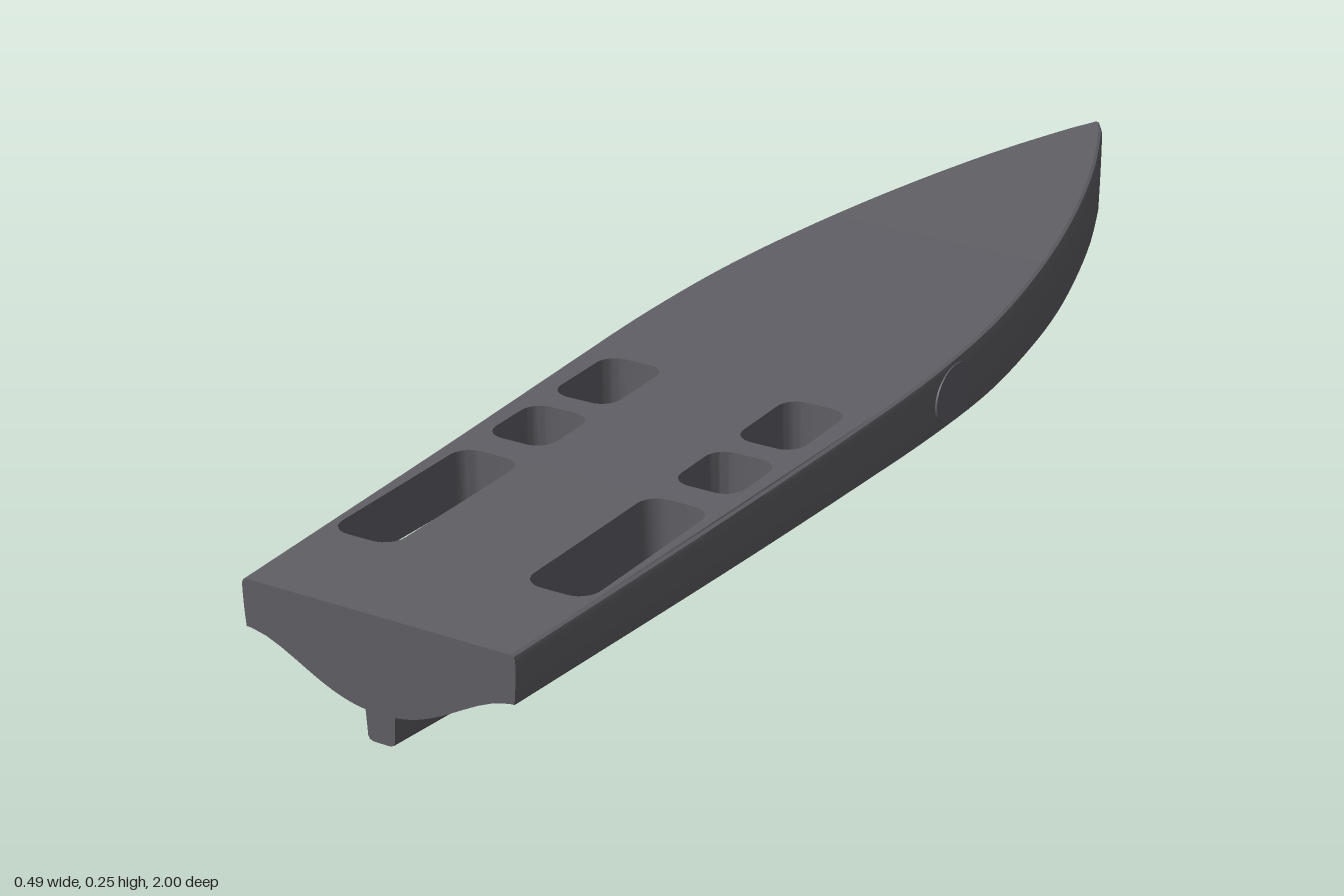
import * as THREE from 'three';
import { toCreasedNormals } from 'three/addons/utils/BufferGeometryUtils.js';

const hullGrey = new THREE.MeshStandardMaterial({ color: 0x605f65, side: THREE.DoubleSide });
hullGrey.name = 'hull grey';

// Smooth curve through [z, value] points
function curve(pts) {
  const slope = (i) => {
    const a = pts[Math.max(i - 1, 0)], b = pts[Math.min(i + 1, pts.length - 1)];
    return (b[1] - a[1]) / (b[0] - a[0]);
  };
  return (z) => {
    let i = 0;
    while (i < pts.length - 2 && z > pts[i + 1][0]) i++;
    const [z0, v0] = pts[i], [z1, v1] = pts[i + 1], h = z1 - z0, t = (z - z0) / h;
    const s = t * t * (3 - 2 * t);
    return v0 + (v1 - v0) * s + h * t * (1 - t) * ((1 - t) * slope(i) - t * slope(i + 1));
  };
}

// Lines of the boat along its length (bow at z = -1, stern at z = 1)
const halfWidth = curve([[-1, 0.004], [-0.985, 0.016], [-0.95, 0.034], [-0.8, 0.094], [-0.6, 0.155],
  [-0.4, 0.2], [-0.2, 0.23], [0, 0.241], [0.2, 0.238], [0.6, 0.224], [1, 0.208]]);
const deckY = curve([[-1, 0.254], [-0.5, 0.237], [0, 0.226], [0.5, 0.222], [1, 0.225]]);
const chineY = curve([[-1, 0.118], [-0.6, 0.105], [-0.3, 0.118], [0, 0.131], [0.5, 0.142], [1, 0.157]]);
const centreY = curve([[-1, 0.105], [-0.8, 0.086], [-0.6, 0.07], [-0.3, 0.062], [0.1, 0.063], [0.5, 0.069], [1, 0.087]]);
const keelY = curve([[-0.62, 0.07], [-0.3, 0.031], [0, 0.01], [0.3, 0.001], [0.6, 0.01], [1, 0.045]]);
const bowBlend = (z) => 1 - THREE.MathUtils.smoothstep(z, -0.8, -0.05);
const chineX = (z) => halfWidth(z) * (0.985 - 0.06 * bowBlend(z));

// Bottom: wine-glass section aft, rounded V forward
function bottomY(x, z) {
  const t = Math.min(x / chineX(z), 1), s = Math.pow(t, 1.2);
  const p = THREE.MathUtils.lerp(s * s * (3 - 2 * s), Math.pow(t, 1.8), bowBlend(z));
  return centreY(z) + (chineY(z) - centreY(z)) * p;
}

// Deck wells
const WELLS = [[0.17, 0.32], [0.36, 0.48], [0.53, 0.83]];
const IN = 0.1, OUT = 0.2, R = 0.03, FLOOR = 0.129, DECK_SPLIT = 0.1;
const wellAt = (z) => WELLS.find(([a, b]) => z >= a - 1e-6 && z <= b + 1e-6);
function inset(z) {
  const w = wellAt(z);
  if (!w) return 0;
  const d = Math.max(R - Math.min(z - w[0], w[1] - z), 0);
  return R - Math.sqrt(Math.max(R * R - d * d, 0));
}
const outerX = (z) => Math.min(OUT - inset(z), 0.96 * chineX(z));
// Where the well floor meets the hull bottom
function floorX(z) {
  let a = 0, b = outerX(z);
  for (let i = 0; i < 30; i++) {
    const m = (a + b) / 2;
    if (bottomY(m, z) > FLOOR) b = m; else a = m;
  }
  return Math.max(b, Math.min(IN + inset(z), outerX(z)));
}
function wellRows([a, b]) {
  const rows = [];
  for (const d of [0, 0.002, 0.006, 0.012, 0.02, 0.03]) rows.push(a + d, b - d);
  for (let i = 1; i < 6; i++) rows.push(a + R + (b - a - 2 * R) * i / 6);
  return rows.sort((p, q) => p - q);
}

// Surface through rows of [x, y, z] points
function loft(rows, skip = () => false, crease = 0.6) {
  const n = rows[0].length, index = [];
  for (let i = 0; i < rows.length - 1; i++) for (let j = 0; j < n - 1; j++) {
    if (skip(i, j)) continue;
    const a = i * n + j, b = a + n;
    index.push(a, b, b + 1, a, b + 1, a + 1);
  }
  const g = new THREE.BufferGeometry();
  g.setAttribute('position', new THREE.Float32BufferAttribute(rows.flat(2), 3));
  g.setIndex(index);
  return toCreasedNormals(g, crease);
}

const fillet = (z) => Math.min(0.007, halfWidth(z) * 0.4);
const deckX = (z) => halfWidth(z) - fillet(z);
const INNER = 14, OPEN = 3, EDGE = 4, SIDE = 5;

// Full cross-section, from the left deck edge round to the right one
function section(z) {
  const w = halfWidth(z), f = fillet(z), y = deckY(z), cx = chineX(z), cy = chineY(z);
  const half = [[w - f, y, z], [w - 0.3 * f, y - 0.3 * f, z]];
  for (let i = 0; i < SIDE; i++) {
    const t = i / SIDE;
    half.push([w + (cx - w) * t * t, y - f + (cy - y + f) * t, z]);
  }
  const stops = [cx, outerX(z), floorX(z), 0];
  [EDGE, OPEN, INNER].forEach((n, k) => {
    for (let i = 0; i < n; i++) {
      const x = stops[k] + (stops[k + 1] - stops[k]) * i / n;
      half.push([x, bottomY(x, z), z]);
    }
  });
  return [...half, [0, centreY(z), z], ...half.reverse().map(([x, b, c]) => [-x, b, c])];
}

export function createModel() {
  const boat = new THREE.Group();
  boat.name = 'boat';
  const add = (name, geometry) => {
    const m = new THREE.Mesh(geometry, hullGrey);
    m.name = name;
    boat.add(m);
    return m;
  };

  // Stations
  let zs = [DECK_SPLIT, -0.995, -0.985, -0.97];
  for (let i = 0; i <= 50; i++) zs.push(-1 + i / 25);
  zs = zs.filter((z) => !wellAt(z)).concat(...WELLS.map(wellRows)).sort((a, b) => a - b);
  zs = zs.filter((z, i) => i === 0 || z - zs[i - 1] > 1e-5);

  // Hull shell, open where the wells break through the bottom
  const sections = zs.map(section), cols = sections[0].length;
  const first = 2 + SIDE + EDGE;
  add('hull', loft(sections, (i, j) => {
    const k = Math.min(j, cols - 2 - j);
    return k >= first && k < first + OPEN && wellAt((zs[i] + zs[i + 1]) / 2);
  }));

  // Transom and stem faces
  for (const [name, z] of [['transom', 1], ['stem', -1]]) {
    const g = new THREE.ShapeGeometry(new THREE.Shape(section(z).map(([x, y]) => new THREE.Vector2(x, y))));
    if (z < 0) g.rotateY(Math.PI);
    add(name, g.translate(0, 0, z));
  }

  // Foredeck
  add('foredeck', loft(zs.filter((z) => z <= DECK_SPLIT + 1e-6).map((z) =>
    [-1, 0, 1].map((s) => [s * deckX(z), deckY(z), z]))));

  // Aft deck with well openings
  const aft = zs.filter((z) => z >= DECK_SPLIT - 1e-6);
  const outline = [...aft.map((z) => new THREE.Vector2(-deckX(z), -z)),
    ...aft.slice().reverse().map((z) => new THREE.Vector2(deckX(z), -z))];
  const deck = new THREE.Shape(outline);

  for (const side of [1, -1]) for (const well of WELLS) {
    const [a, b] = well, h = Math.PI / 2;
    const rim = new THREE.Path();
    rim.absarc(OUT - R, b - R, R, 0, h);
    rim.absarc(IN + R, b - R, R, h, 2 * h);
    rim.absarc(IN + R, a + R, R, 2 * h, 3 * h);
    rim.absarc(OUT - R, a + R, R, 3 * h, 4 * h);
    rim.closePath();
    const pts = rim.getSpacedPoints(90);
    deck.holes.push(new THREE.Path(pts.slice(0, -1).map((p) => new THREE.Vector2(side * p.x, -p.y))));

    // Well walls and floor
    const label = side > 0 ? 'left' : 'right';
    const top = pts.map((p) => [side * p.x, deckY(p.y), p.y]);
    const low = pts.map((p) => [side * p.x, Math.max(FLOOR, bottomY(p.x, p.y)), p.y]);
    add(label + 'WellWall', loft(side > 0 ? [top, low] : [low, top]));
    add(label + 'WellFloor', loft(wellRows(well).map((z) => {
      const row = [[side * (IN + inset(z)), FLOOR, z], [side * floorX(z), FLOOR, z]];
      return side > 0 ? row : row.reverse();
    })));
  }
  const deckGeometry = new THREE.ShapeGeometry(deck).rotateX(-Math.PI / 2);
  const pos = deckGeometry.attributes.position;
  for (let i = 0; i < pos.count; i++) pos.setY(i, deckY(pos.getZ(i)));
  deckGeometry.computeVertexNormals();
  add('aftDeck', deckGeometry);

  // Keel with rounded lower corners
  const keelRows = [];
  for (let i = 0; i <= 40; i++) {
    const z = -0.62 + 1.62 * i / 40, top = centreY(z) + 0.004, y = Math.min(keelY(z), top - 0.002);
    const w = 0.023 * Math.min(1, 0.25 + i / 10), r = Math.min(0.007, (top - y) / 2);
    const half = [[w, top, z], [w * 0.9, y + r, z], [w * 0.8, y + r * 0.3, z], [w * 0.55, y, z]];
    keelRows.push([...half, ...half.slice().reverse().map(([x, b, c]) => [-x, b, c])]);
  }
  add('keel', loft(keelRows));
  const keelEnd = keelRows[40].map(([x, y]) => new THREE.Vector2(x, y));
  add('keelEnd', new THREE.ShapeGeometry(new THREE.Shape(keelEnd)).translate(0, 0, 1));

  // Round side plates
  for (const side of [1, -1]) {
    const plate = add(side > 0 ? 'leftSidePlate' : 'rightSidePlate',
      new THREE.CylinderGeometry(1, 1, 0.006, 40).rotateZ(Math.PI / 2).scale(1, 0.043, 0.058));
    plate.position.set(side * 0.238, 0.177, -0.06);
    plate.rotation.y = side * 0.04;
  }
  return boat;
}
